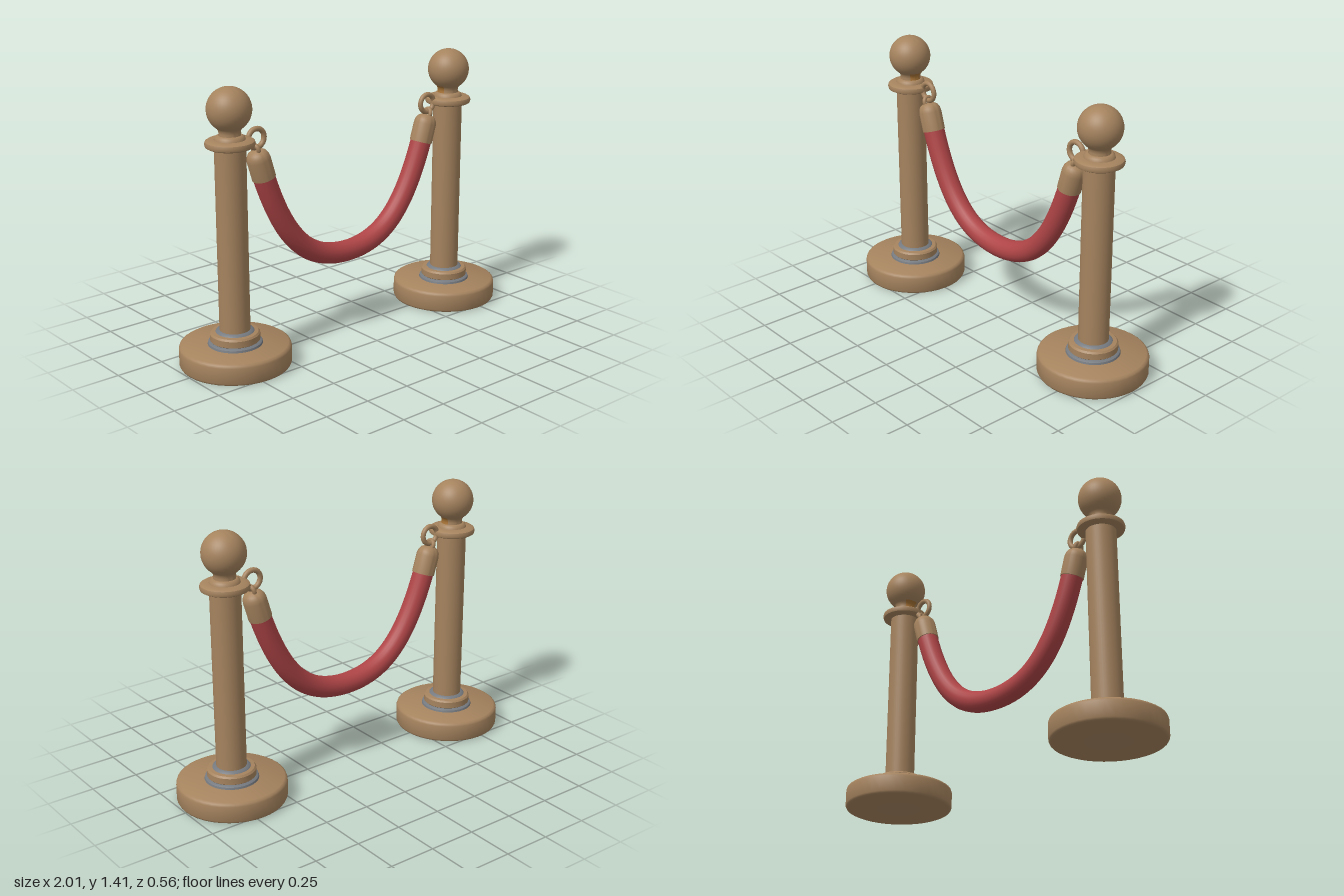
import * as THREE from 'three';
import { toCreasedNormals } from 'three/addons/utils/BufferGeometryUtils.js';

const POST_X = -0.722;

function material(name, color) {
  const m = new THREE.MeshStandardMaterial({ color });
  m.name = name;
  return m;
}

function mesh(name, geometry, mat) {
  const m = new THREE.Mesh(geometry, mat);
  m.name = name;
  return m;
}

// Turned part from [radius, height] pairs, listed bottom to top
function turned(points, crease = 0.7, phiStart = 0, phiLength = Math.PI * 2) {
  const profile = points.map(([r, y]) => new THREE.Vector2(r, y));
  return toCreasedNormals(new THREE.LatheGeometry(profile, 40, phiStart, phiLength), crease);
}

function makePost(brass, tarnish, rust) {
  const post = new THREE.Group();
  post.name = 'post';
  post.position.x = POST_X;

  // Heavy foot with softened rims
  post.add(mesh('base', turned([[0, 0], [0.267, 0], [0.276, 0.004], [0.281, 0.014],
    [0.281, 0.094], [0.277, 0.105], [0.266, 0.112], [0, 0.112]]), brass));

  // Stepped collar with tarnished seams
  post.add(mesh('lowerSeam', turned([[0.139, 0.108], [0.135, 0.122], [0.122, 0.13], [0.11, 0.13]]), tarnish));
  post.add(mesh('collar', turned([[0.118, 0.126], [0.125, 0.133], [0.125, 0.165],
    [0.117, 0.174], [0.095, 0.176]]), brass));
  post.add(mesh('upperSeam', turned([[0.098, 0.174], [0.092, 0.182], [0.076, 0.186]]), tarnish));

  // Shaft and top flange
  post.add(mesh('shaft', turned([[0.077, 0.17], [0.077, 1.125]]), brass));
  post.add(mesh('flange', turned([[0.07, 1.117], [0.108, 1.117], [0.119, 1.123], [0.123, 1.136],
    [0.119, 1.149], [0.108, 1.156], [0.076, 1.157], [0.072, 1.17], [0.06, 1.178], [0.05, 1.178]]), brass));

  // Neck flowing into the ball
  const finial = [[0.056, 1.17], [0.053, 1.188], [0.055, 1.202], [0.062, 1.212]];
  for (let i = 0; i <= 18; i++) {
    const a = THREE.MathUtils.lerp(-0.9, Math.PI / 2, i / 18);
    finial.push([Math.max(0, 0.11 * Math.cos(a)), 1.303 + 0.11 * Math.sin(a)]);
  }
  post.add(mesh('ballFinial', turned(finial, 1), brass));

  // Rust stain on the side facing the rope
  post.add(mesh('rustStain', turned([[0.058, 1.176], [0.055, 1.188], [0.057, 1.202], [0.064, 1.211],
    [0.071, 1.217]], 1, 0.9, 1.1), rust));
  return post;
}

function makeHook(brass) {
  const hook = new THREE.Group();
  hook.name = 'ropeHook';

  // Ring passing through the flange edge
  const ring = mesh('ring', new THREE.TorusGeometry(0.047, 0.0135, 12, 32), brass);
  ring.position.set(-0.567, 1.136, 0);
  hook.add(ring);

  // Domed ferrule with a small eye, tilted along the rope end
  const ferrule = new THREE.Group();
  ferrule.name = 'ferrule';
  ferrule.position.set(-0.527, 0.936, 0);
  ferrule.rotation.z = 0.297;
  ferrule.add(mesh('cap', turned([[0, -0.006], [0.06, -0.006], [0.06, 0.095], [0.056, 0.115],
    [0.046, 0.132], [0.03, 0.142], [0, 0.146]], 0.9), brass));
  const eye = mesh('eye', new THREE.TorusGeometry(0.024, 0.011, 10, 24), brass);
  eye.position.y = 0.152;
  eye.rotation.y = Math.PI / 2;
  ferrule.add(eye);
  hook.add(ferrule);
  return hook;
}

function makeRope(red) {
  const points = [];
  for (let i = -10; i <= 10; i++) {
    const x = 0.532 * Math.sin((i / 10) * Math.PI / 2);
    points.push(new THREE.Vector3(x, 0.43 + 0.892 * x ** 2 + 3.35 * x ** 4, 0));
  }
  return mesh('rope', new THREE.TubeGeometry(new THREE.CatmullRomCurve3(points), 64, 0.056, 20), red);
}

export function createModel() {
  const brass = material('aged brass', 0xa5835e);
  const red = material('red velvet', 0xae4446);
  const tarnish = material('grey tarnish', 0x757a80);
  const rust = material('orange rust', 0xa87436);

  const model = new THREE.Group();
  model.name = 'ropeBarrier';
  ['right', 'left'].forEach((side, i) => {
    const end = new THREE.Group();
    end.name = side + 'End';
    end.add(makePost(brass, tarnish, rust), makeHook(brass));
    end.rotation.y = i * Math.PI;
    model.add(end);
  });
  model.add(makeRope(red));
  return model;
}
